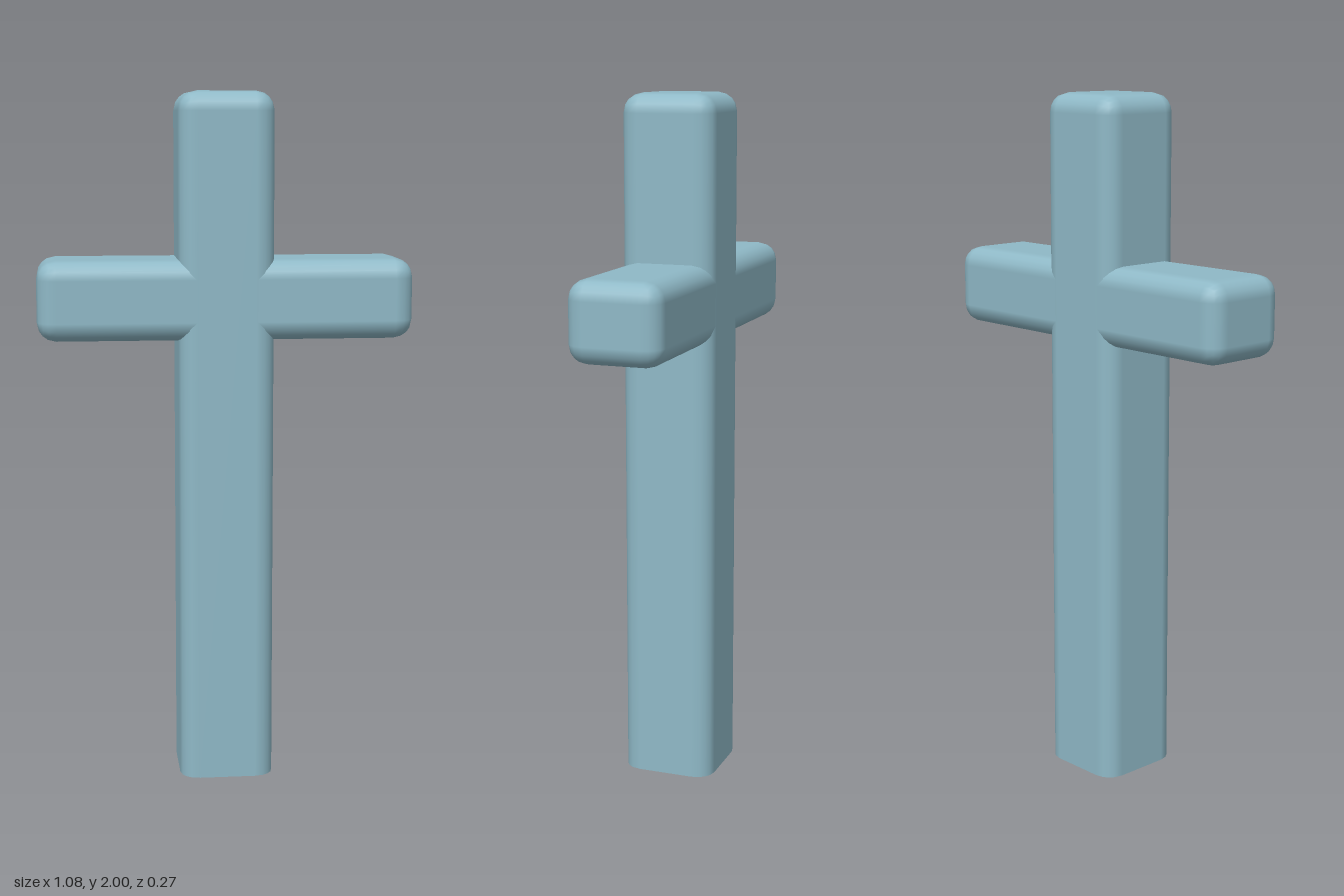
import * as THREE from 'three';
import { RoundedBoxGeometry } from 'three/addons/geometries/RoundedBoxGeometry.js';

const HALF = 0.137;   // half thickness of the beams
const R = 0.055;      // edge rounding

// Cut the rounded lower end off flat at y = 0, with a crisp edge
function flattenBottom(geo) {
  const p = geo.attributes.position, n = geo.attributes.normal;
  for (let i = 0; i < p.count; i++) if (p.getY(i) < 1e-4) p.setY(i, 0);
  for (let i = 0; i < p.count; i += 3) {
    if (p.getY(i) + p.getY(i + 1) + p.getY(i + 2) > 0) continue;
    for (let k = 0; k < 3; k++) n.setXYZ(i + k, 0, -1, 0);
  }
  return geo;
}

export function createModel() {
  const group = new THREE.Group();
  group.name = 'cross';
  const material = new THREE.MeshStandardMaterial({ color: 0x8fb9c7 });

  // Upright post: rounded top, flat foot
  const postGeo = new RoundedBoxGeometry(HALF * 2, 2 + R, HALF * 2, 2, R);
  postGeo.translate(0, 1 - R / 2, 0);
  const post = new THREE.Mesh(flattenBottom(postGeo), material);
  post.name = 'post';

  // Crossbar, a hair thinner so the shared faces do not flicker
  const barGeo = new RoundedBoxGeometry(1.076, 0.23, HALF * 2 - 0.002, 2, R);
  const bar = new THREE.Mesh(barGeo, material);
  bar.name = 'crossbar';
  bar.position.y = 1.415;

  group.add(post, bar);
  return group;
}
